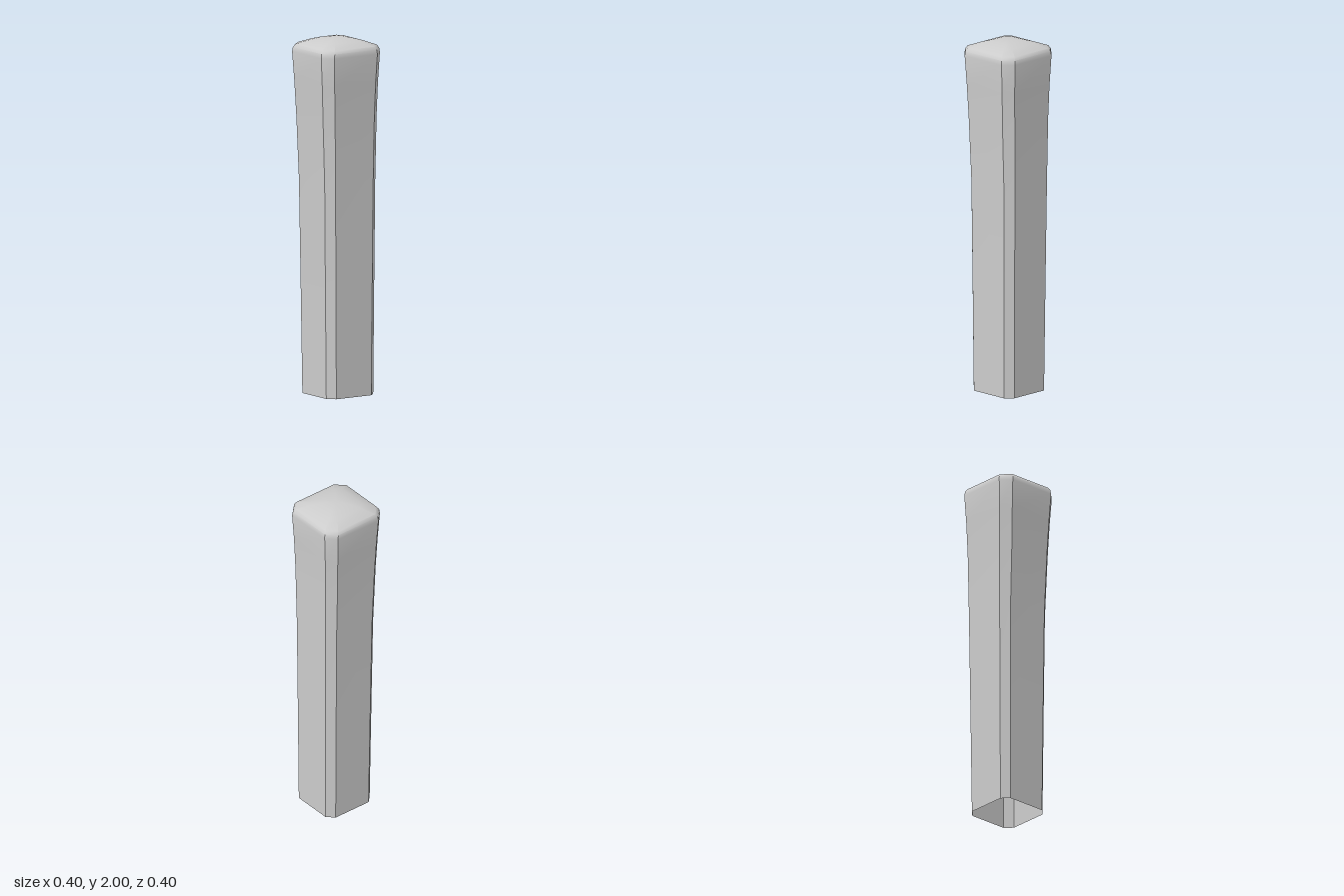
import * as THREE from 'three';
import { toCreasedNormals } from 'three/addons/utils/BufferGeometryUtils.js';

// Cross-sections: [height, half width, half width of the flat side, centre x, centre z]
const SECTIONS = [
  [0, 0.157, 0.117, 0.01, 0.003],
  [0.6, 0.163, 0.121, 0.009, 0.001],
  [1.2, 0.169, 0.126, 0.008, -0.001],
  [1.56, 0.179, 0.131, 0.003, 0],
  [1.75, 0.186, 0.137, 0.001, 0],
  [1.915, 0.196, 0.143, 0, 0],
  // rounded shoulder
  [1.94, 0.193, 0.14, 0, 0],
  [1.956, 0.182, 0.132, 0, 0],
  // shallow domed cap
  [1.981, 0.118, 0.085, 0, 0],
  [1.994, 0.073, 0.052, 0, 0],
  [1.999, 0.032, 0.023, 0, 0],
];

// Square with cut corners, running from +x towards +z
function octagon([y, h, f, cx, cz]) {
  const corners = [[h, -f], [h, f], [f, h], [-f, h], [-h, f], [-h, -f], [-f, -h], [f, -h]];
  return corners.flatMap(([x, z]) => [x + cx, y, z + cz]);
}

function postGeometry() {
  const positions = SECTIONS.flatMap(octagon);
  const index = [];
  const last = SECTIONS.length - 1;
  const apex = SECTIONS.length * 8;
  positions.push(0, 2, 0);
  for (let j = 0; j < 8; j++) {
    const k = (j + 1) % 8;
    for (let i = 0; i < last; i++) {
      const a = i * 8 + j, b = i * 8 + k;
      index.push(a, a + 8, b, b, a + 8, b + 8);
    }
    index.push(last * 8 + j, apex, last * 8 + k);
  }
  const geometry = new THREE.BufferGeometry();
  geometry.setAttribute('position', new THREE.Float32BufferAttribute(positions, 3));
  geometry.setIndex(index);
  return toCreasedNormals(geometry, 0.65);
}

export function createModel() {
  const model = new THREE.Group();
  model.name = 'post';
  // Hollow shell, open at the foot, turned very slightly about its axis
  const material = new THREE.MeshStandardMaterial({ color: 0xcccccc, side: THREE.DoubleSide });
  const post = new THREE.Mesh(postGeometry(), material);
  post.name = 'flaredPost';
  post.rotation.y = 0.026;
  model.add(post);
  return model;
}
